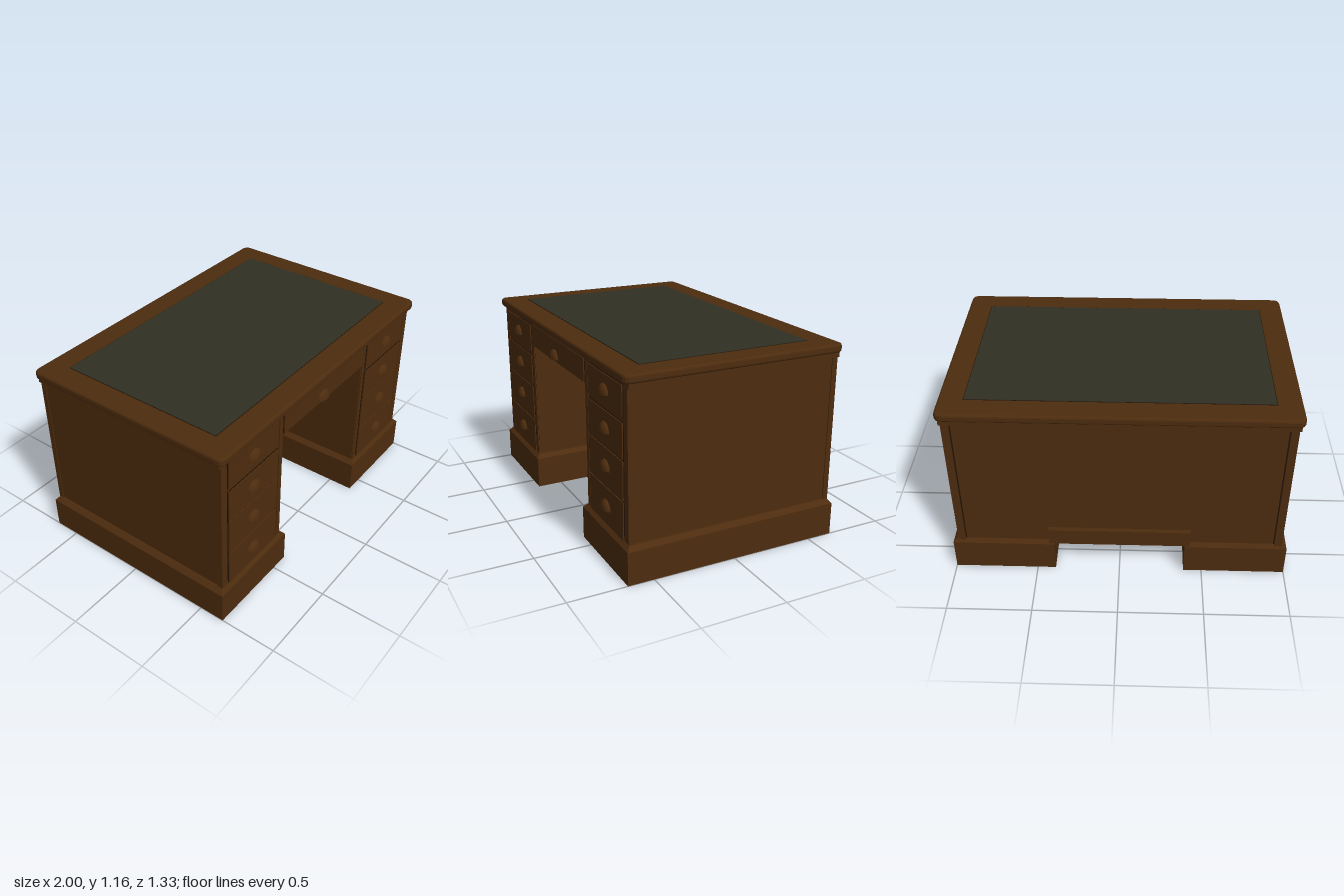
import * as THREE from 'three';
import { mergeGeometries } from 'three/addons/utils/BufferGeometryUtils.js';

const wood = new THREE.MeshStandardMaterial({ color: 0x4d2c0e });
wood.name = 'brown wood';
const leather = new THREE.MeshStandardMaterial({ color: 0x2f2f24 });
leather.name = 'dark green leather';
const groove = new THREE.MeshStandardMaterial({ color: 0x221205 });
groove.name = 'dark groove';

function add(parent, name, geometry, material) {
  const mesh = new THREE.Mesh(geometry, material);
  mesh.name = name;
  parent.add(mesh);
  return mesh;
}

// Box given by its lower and upper limits on each axis
function box(parent, name, [x0, x1], [y0, y1], [z0, z1], material = wood) {
  const mesh = add(parent, name, new THREE.BoxGeometry(x1 - x0, y1 - y0, z1 - z0), material);
  mesh.position.set((x0 + x1) / 2, (y0 + y1) / 2, (z0 + z1) / 2);
  return mesh;
}

// Horizontal slab with rounded corners and soft edges
function slab(width, depth, height, radius, bevel) {
  const w = width / 2 - bevel, d = depth / 2 - bevel, r = radius;
  const s = new THREE.Shape();
  s.moveTo(-w + r, -d);
  s.lineTo(w - r, -d).quadraticCurveTo(w, -d, w, -d + r);
  s.lineTo(w, d - r).quadraticCurveTo(w, d, w - r, d);
  s.lineTo(-w + r, d).quadraticCurveTo(-w, d, -w, d - r);
  s.lineTo(-w, -d + r).quadraticCurveTo(-w, -d, -w + r, -d);
  const g = new THREE.ExtrudeGeometry(s, {
    depth: height - 2 * bevel, bevelEnabled: true, bevelSize: bevel,
    bevelThickness: bevel, bevelSegments: 3, curveSegments: 4,
  });
  return g.rotateX(-Math.PI / 2).translate(0, bevel, 0);
}

// Cup-shaped pull: a quarter dome closed underneath
function cupPull(parent, x, y) {
  const dome = new THREE.SphereGeometry(1, 12, 5, 0, Math.PI, 0, Math.PI / 2);
  const base = new THREE.CircleGeometry(1, 12, 0, Math.PI).rotateX(Math.PI / 2);
  const g = mergeGeometries([dome, base]).scale(0.055, 0.055, 0.032);
  add(parent, 'drawerPull', g, wood).position.set(x, y, 0.636);
}

// Drawer front lying on a slightly wider dark gap
function drawer(parent, [x0, x1], [y0, y1], pullX, pullY) {
  const group = new THREE.Group();
  group.name = 'drawer';
  const e = 0.005;
  box(group, 'drawerGap', [x0 - e, x1 + e], [y0 - e, y1 + e], [0.625, 0.632], groove);
  box(group, 'drawerFront', [x0, x1], [y0, y1], [0.61, 0.638]);
  cupPull(group, pullX, pullY);
  parent.add(group);
}

// Plinth block with a sloped upper edge
function plinth(parent, side) {
  const block = box(parent, 'plinth', side > 0 ? [0.39, 1] : [-1, -0.39], [0, 0.195], [-0.655, 0.655]);
  const cap = new THREE.BoxGeometry(0.61, 0.025, 1.31);
  const p = cap.attributes.position;
  for (let i = 0; i < p.count; i++) {
    if (p.getY(i) < 0) continue;
    p.setX(i, p.getX(i) - Math.sign(p.getX(i)) * 0.025);
    p.setZ(i, p.getZ(i) - Math.sign(p.getZ(i)) * 0.02);
  }
  cap.computeVertexNormals();
  add(parent, 'plinthMoulding', cap, wood).position.set(block.position.x, 0.2075, 0);
}

export function createModel() {
  const desk = new THREE.Group();
  desk.name = 'pedestalDesk';

  // Desktop with leather writing surface
  add(desk, 'desktop', slab(2, 1.325, 0.05, 0.03, 0.014), wood).position.y = 1.105;
  box(desk, 'leatherBorder', [-0.859, 0.859], [1.15, 1.156], [-0.518, 0.518], groove);
  box(desk, 'leatherInset', [-0.855, 0.855], [1.15, 1.158], [-0.514, 0.514], leather);
  box(desk, 'underTopMoulding', [-0.98, 0.98], [1.075, 1.106], [-0.647, 0.632]);

  // Pedestals with their drawers
  const rows = [[0.22, 0.44, 0.315], [0.45, 0.67, 0.55], [0.68, 0.88, 0.765], [0.91, 1.08, 0.975]];
  for (const side of [-1, 1]) {
    const pedestal = new THREE.Group();
    pedestal.name = side > 0 ? 'leftPedestal' : 'rightPedestal';
    const span = (a, b) => (side > 0 ? [a, b] : [-b, -a]);
    box(pedestal, 'carcass', span(0.42, 0.965), [0.2, 1.1], [-0.635, 0.628]);
    for (const [y0, y1, pullY] of rows) drawer(pedestal, span(0.47, 0.91), [y0, y1], side * 0.695, pullY);
    // Corner posts
    box(pedestal, 'frontPost', span(0.925, 0.97), [0.2, 1.08], [0.6, 0.634]);
    box(pedestal, 'innerFrontPost', span(0.425, 0.455), [0.2, 1.08], [0.6, 0.634]);
    box(pedestal, 'backPost', span(0.925, 0.97), [0.2, 1.08], [-0.643, -0.61]);
    box(pedestal, 'backPostGroove', span(0.918, 0.925), [0.22, 1.075], [-0.637, -0.63], groove);
    plinth(pedestal, side);
    desk.add(pedestal);
  }

  // Kneehole: centre drawer, back panel and lower rail
  box(desk, 'centreDrawerCase', [-0.42, 0.42], [0.95, 1.1], [-0.635, 0.62]);
  drawer(desk, [-0.414, 0.414], [0.955, 1.09], -0.03, 0.975);
  box(desk, 'backPanel', [-0.42, 0.42], [0.215, 1.1], [-0.635, -0.61]);
  box(desk, 'backRail', [-0.42, 0.42], [0.213, 0.32], [-0.664, -0.6]);
  box(desk, 'railGroove', [-0.42, 0.42], [0.32, 0.326], [-0.612, -0.605], groove);

  return desk;
}
